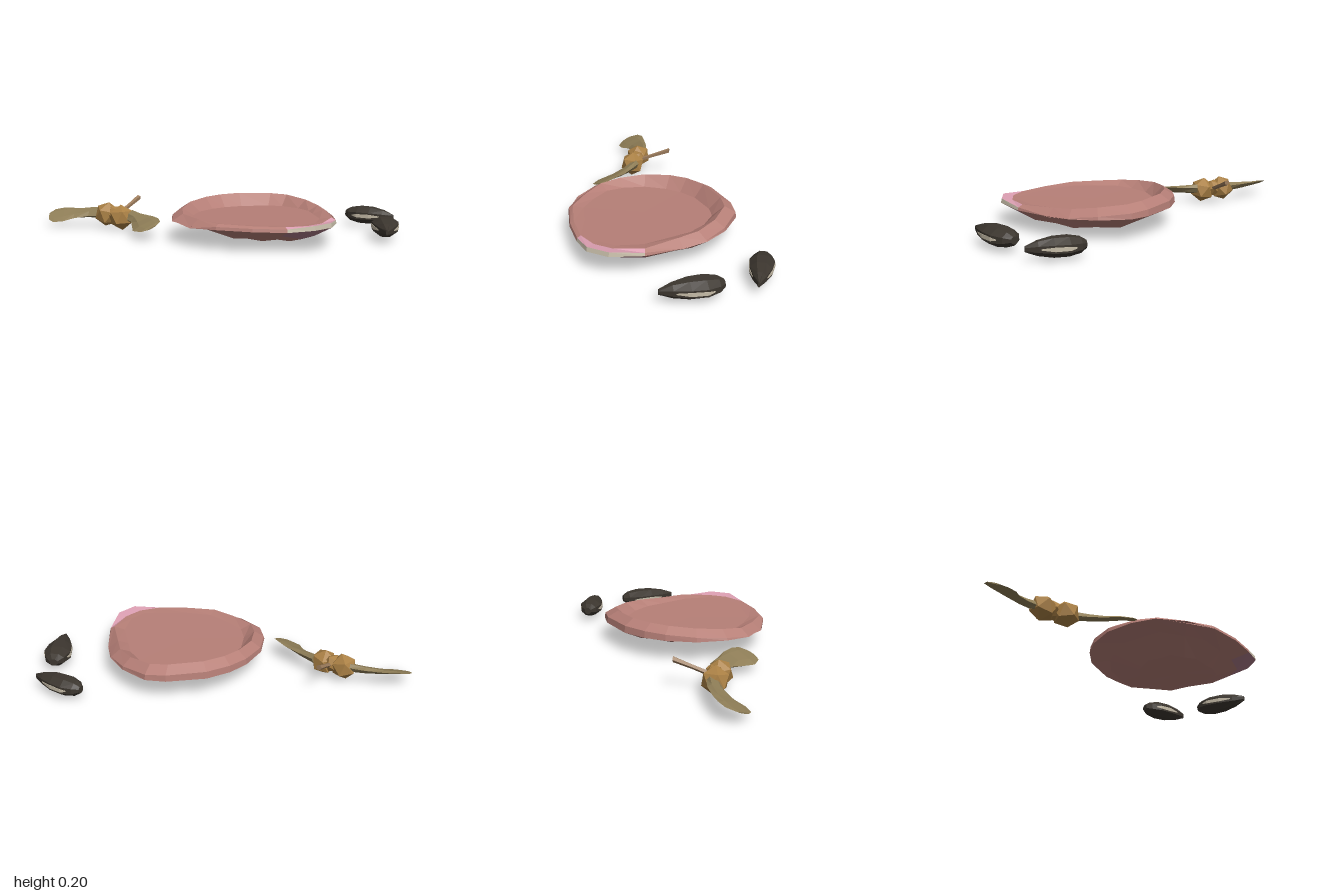
import * as THREE from 'three';

const mat = (name, color) => {
  const m = new THREE.MeshStandardMaterial({ color, flatShading: true });
  m.name = name;
  return m;
};

// Skin a list of equal-length rings; pick(ring, segment) gives a material index
function loft(rings, pick = () => 0) {
  const buckets = [[], [], [], []];
  for (let i = 0; i < rings.length - 1; i++) {
    const n = rings[i].length;
    for (let j = 0; j < n; j++) {
      const k = (j + 1) % n;
      const a = rings[i][j], b = rings[i][k], c = rings[i + 1][k], d = rings[i + 1][j];
      buckets[pick(i, j)].push(...a, ...d, ...c, ...a, ...c, ...b);
    }
  }
  const g = new THREE.BufferGeometry();
  g.setAttribute('position', new THREE.Float32BufferAttribute(buckets.flat(), 3));
  let start = 0;
  buckets.forEach((b, i) => {
    if (b.length) g.addGroup(start, b.length / 3, i);
    start += b.length / 3;
  });
  g.computeVertexNormals();
  return g;
}

// Elliptical sections along a path; each station is [x, y, z, halfWidth, halfHeight]
function sweep(stations, sides, roll = 0, phase = 0) {
  const rings = stations.map(([x, y, z, w, h], i) => {
    const p = stations[Math.max(i - 1, 0)], q = stations[Math.min(i + 1, stations.length - 1)];
    const d = new THREE.Vector2(q[0] - p[0], q[2] - p[2]).normalize();
    return Array.from({ length: sides }, (_, j) => {
      const t = ((j + phase) / sides) * Math.PI * 2, s = w * Math.cos(t);
      return [x + d.y * s, y + roll * s - h * Math.sin(t), z - d.x * s];
    });
  });
  const [f, l] = [stations[0], stations[stations.length - 1]];
  rings.unshift(rings[0].map(() => f.slice(0, 3)));
  rings.push(rings[0].map(() => l.slice(0, 3)));
  return loft(rings);
}

export function createModel() {
  const model = new THREE.Group();
  const pink = mat('dusty pink', 0xb67f77);
  const lilac = mat('lilac', 0xdc9fb2);
  const mauve = mat('mauve', 0xab7a88);
  const cream = mat('cream', 0xc6bca8);
  const dark = mat('dark husk', 0x3c362f);
  const tan = mat('tan', 0xab8145);
  const olive = mat('wing olive', 0x8f7e57);
  const brown = mat('stalk brown', 0x9c7c5c);
  const add = (name, geo, material, parent = model) => {
    const m = new THREE.Mesh(geo, material);
    m.name = name;
    parent.add(m);
    return m;
  };

  // Large flat seed: shell with a high back rim and a hollow that rises gently to the front
  const outline = [[0.15, -0.35], [0.37, -0.3], [0.47, -0.24], [0.55, -0.08], [0.575, 0.08], [0.55, 0.22],
    [0.48, 0.43], [0.38, 0.59], [0.26, 0.645], [0.12, 0.61], [-0.05, 0.54], [-0.22, 0.43],
    [-0.33, 0.29], [-0.385, 0.12], [-0.35, -0.02], [-0.26, -0.17], [-0.12, -0.28], [0, -0.33]];
  const ring = (scale, y, cx = 0.1, cz = 0.13) => outline.map(([x, z], j) => {
    const s = scale(j), px = cx + (x - cx) * s, pz = cz + (z - cz) * s;
    return [px, y(pz, j, px), pz];
  });
  const front = j => j >= 6 && j <= 11;
  const lip = j => j === 7 || j === 8;
  const crest = z => (z < 0.15 ? 0.17 - (z + 0.02) * 0.1 : 0.153 - (z - 0.15) * 0.035);
  const wobble = j => (j % 2 ? 0.006 : -0.004);
  const shell = loft([
    ring(() => 0, () => 0.01, 0.13, 0.2),
    ring(() => 0.46, (z, j) => 0.026 + wobble(j), 0.17, 0.2),
    ring(() => 0.76, (z, j, x) => 0.075 - x * 0.06 + wobble(j), 0.145, 0.16),
    ring(() => 1, (z, j) => (lip(j) ? 0.122 : 0.118 - z * 0.01)),
    ring(() => 0.99, (z, j) => (lip(j) ? 0.147 : z > 0.3 ? 0.13 : 0.13 - z * 0.09)),
    ring(j => (lip(j) ? 0.88 : front(j) ? 0.94 : 0.87), (z, j) => (lip(j) ? 0.138 : crest(z))),
    ring(j => (front(j) ? 0.8 : 0.74), z => 0.127 + z * 0.015),
    ring(() => 0, () => 0.127),
  ], (i, j) => (j < 6 || j > 8 ? 0 : [0, 0, 3, 2, 1, 0, 0][i]));
  add('flatSeed', shell, [pink, lilac, cream, mauve]);

  // Two dark striped seeds, blunt at the start and pointed at the end
  const profile = [[0, 0.3, 0.4], [0.1, 0.7, 0.78], [0.3, 1, 1], [0.55, 0.88, 1], [0.8, 0.5, 0.74], [1, 0.06, 0.3]];
  [
    { name: 'backStripedSeed', from: [0.8, -0.12], to: [0.998, 0.12], w: 0.066 },
    { name: 'frontStripedSeed', from: [0.875, 0.24], to: [0.73, 0.55], w: 0.077 },
  ].forEach(({ name, from, to, w }) => {
    const g = new THREE.Group();
    g.name = name;
    model.add(g);
    const dx = to[0] - from[0], dz = to[1] - from[1], len = Math.hypot(dx, dz);
    const at = (t, s) => [from[0] + dx * t + (dz / len) * s, 0.065, from[1] + dz * t - (dx / len) * s];
    const husk = profile.map(([t, f, h]) => [...at(t, 0), (w * f) / 0.92, 0.054 * h]);
    add('husk', sweep(husk, 8, 0, 0.5), dark, g);
    // Pale slivers on both long edges
    for (const side of [1, -1]) {
      const path = [[0.2, 0.85, 0.004], [0.3, 1, 0.014], [0.55, 0.88, 0.016], [0.76, 0.56, 0.004]];
      const sliver = path.map(([t, f, h]) => [...at(t, side * w * f), 0.004, h]);
      add('paleStripe', sweep(sliver, 4, 0, 0.5), cream, g);
    }
  });

  // Winged seed: two faceted nuts, two thin tilted wings and a stalk
  const winged = new THREE.Group();
  winged.name = 'wingedSeed';
  model.add(winged);
  [[-0.66, 0.08, -0.435, 0.3], [-0.59, 0.073, -0.33, 1.1]].forEach(([x, y, z, turn]) => {
    const nut = add('nut', new THREE.IcosahedronGeometry(0.077, 0), tan, winged);
    nut.position.set(x, y, z);
    nut.rotation.set(turn, turn * 2, 0.4);
  });
  const joint = add('joint', new THREE.IcosahedronGeometry(0.055, 0), tan, winged);
  joint.position.set(-0.615, 0.085, -0.39);
  add('backWing', sweep([
    [-0.67, 0.085, -0.46, 0.035, 0.03], [-0.75, 0.082, -0.52, 0.045, 0.022], [-0.84, 0.074, -0.56, 0.06, 0.014],
    [-0.91, 0.067, -0.575, 0.08, 0.01], [-0.965, 0.06, -0.59, 0.073, 0.007], [-0.997, 0.056, -0.595, 0.036, 0.004],
  ], 6, -0.38), olive, winged);
  add('frontWing', sweep([
    [-0.545, 0.085, -0.31, 0.035, 0.03], [-0.515, 0.082, -0.22, 0.042, 0.022], [-0.5, 0.077, -0.13, 0.066, 0.014],
    [-0.5, 0.073, -0.05, 0.078, 0.01], [-0.485, 0.07, 0.01, 0.062, 0.007], [-0.48, 0.068, 0.03, 0.03, 0.004],
  ], 6, 0.4), olive, winged);
  add('stalk', sweep([
    [-0.6, 0.08, -0.39, 0.014, 0.014], [-0.52, 0.122, -0.46, 0.013, 0.013], [-0.447, 0.16, -0.525, 0.018, 0.016],
  ], 5), brown, winged);
  return model;
}
